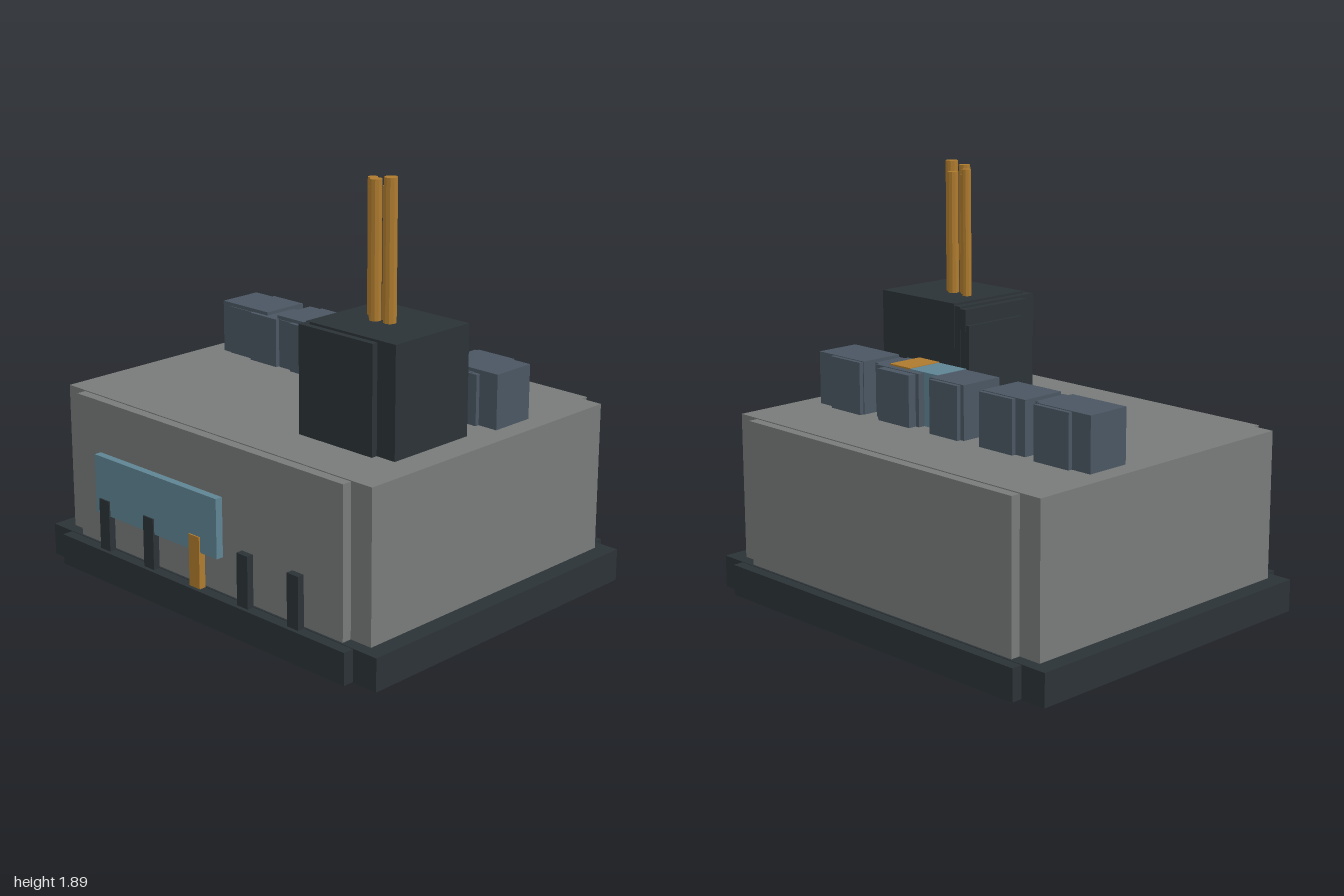
import * as THREE from 'three';

const mat = (c) => new THREE.MeshStandardMaterial({ color: c, flatShading: true });

export function createModel() {
  const model = new THREE.Group();
  const dark = mat(0x2b3236), grey = mat(0x777b78), slate = mat(0x4a5662);
  const blue = mat(0x5f8494), amber = mat(0xae7b2e);

  const group = (name) => {
    const g = new THREE.Group();
    g.name = name;
    model.add(g);
    return g;
  };
  // Box given by its limits along x, y and z
  const box = (parent, name, m, x0, x1, y0, y1, z0, z1) => {
    const b = new THREE.Mesh(new THREE.BoxGeometry(x1 - x0, y1 - y0, z1 - z0), m);
    b.position.set((x0 + x1) / 2, (y0 + y1) / 2, (z0 + z1) / 2);
    b.name = name;
    parent.add(b);
  };
  const rod = (parent, name, m, r, x, y0, y1, z) => {
    const c = new THREE.Mesh(new THREE.CylinderGeometry(r, r, y1 - y0, 10), m);
    c.position.set(x, (y0 + y1) / 2, z);
    c.name = name;
    parent.add(c);
  };

  // Plinth with notched corners
  const plinth = group('plinth');
  box(plinth, 'plinthWide', dark, -1, 1, 0.01, 0.155, -0.77, 0.77);
  box(plinth, 'plinthDeep', dark, -0.875, 0.875, 0.012, 0.153, -0.82, 0.82);

  // Feet beneath the plinth
  const feet = group('feet');
  for (const x of [-0.52, 0, 0.52])
    for (let i = -2; i <= 2; i++) rod(feet, 'foot', dark, 0.02, x, 0, 0.03, i * 0.197);

  // Main block with notched corners
  const body = group('mainBlock');
  box(body, 'blockWide', grey, -0.92, 0.92, 0.1, 0.82, -0.715, 0.715);
  box(body, 'blockDeep', grey, -0.81, 0.81, 0.1, 0.816, -0.76, 0.76);

  // Front window and posts
  box(model, 'frontWindow', blue, -0.66, 0.12, 0.315, 0.58, 0.75, 0.795);
  const posts = group('frontPosts');
  for (let i = 0; i < 5; i++) {
    const x = -0.598 + i * 0.2925;
    box(posts, 'post', i === 2 ? amber : dark, x - 0.032, x + 0.032, 0.15, 0.385, 0.77, 0.802);
  }

  // Rooftop units: overlapping boxes [x0, x1, top, z0, z1]
  const units = [
    [[-0.83, -0.535, 1.06, -0.34, -0.13], [-0.73, -0.537, 1.057, -0.36, -0.14], [-0.63, -0.46, 1.045, -0.28, -0.11], [-0.78, -0.5, 1.043, -0.3, -0.125]],
    [[-0.47, -0.22, 1.06, -0.34, -0.13], [-0.415, -0.222, 1.057, -0.36, -0.14], [-0.37, -0.19, 1.045, -0.28, -0.11], [-0.45, -0.2, 1.043, -0.3, -0.125]],
    [[-0.11, 0.1, 1.06, -0.34, -0.13], [-0.09, 0.08, 1.057, -0.36, -0.14], [-0.08, 0.11, 1.045, -0.32, -0.11]],
    [[0.19, 0.465, 1.055, -0.32, -0.13], [0.21, 0.41, 1.052, -0.36, -0.14], [0.25, 0.46, 1.045, -0.28, -0.12]],
    [[0.525, 0.825, 1.06, -0.34, -0.13], [0.53, 0.725, 1.057, -0.36, -0.14], [0.46, 0.7, 1.045, -0.27, -0.12], [0.545, 0.73, 1.043, -0.28, -0.11]],
  ];
  const roof = group('roofUnits');
  for (const unit of units)
    for (const [x0, x1, top, z0, z1] of unit) box(roof, 'roofUnit', slate, x0, x1, 0.8, top, z0, z1);
  box(roof, 'blueUnit', blue, 0.108, 0.28, 0.8, 1.059, -0.288, -0.115);
  box(roof, 'amberUnit', amber, 0.28, 0.41, 0.8, 1.062, -0.288, -0.113);
  box(roof, 'amberSill', amber, 0.108, 0.28, 0.8, 0.84, -0.2, -0.11);

  // Dark tower with stepped side
  const tower = group('tower');
  box(tower, 'towerCore', dark, 0.315, 0.787, 0.8, 1.3, 0.01, 0.445);
  box(tower, 'towerFront', dark, 0.28, 0.69, 0.8, 1.29, 0.012, 0.473);
  box(tower, 'towerStep', dark, 0.245, 0.6, 0.8, 1.28, 0.014, 0.395);
  box(tower, 'towerLowStep', dark, 0.227, 0.5, 0.8, 1.21, 0.016, 0.35);

  // Cluster of pipes: [x, z, radius, top]
  const pipes = group('pipes');
  for (const [x, z, r, top] of [
    [0.415, 0.185, 0.021, 1.87], [0.45, 0.213, 0.022, 1.84], [0.484, 0.24, 0.026, 1.88],
    [0.518, 0.2, 0.025, 1.85], [0.553, 0.227, 0.028, 1.895],
  ]) rod(pipes, 'pipe', amber, r, x, 1.25, top, z);

  return model;
}
